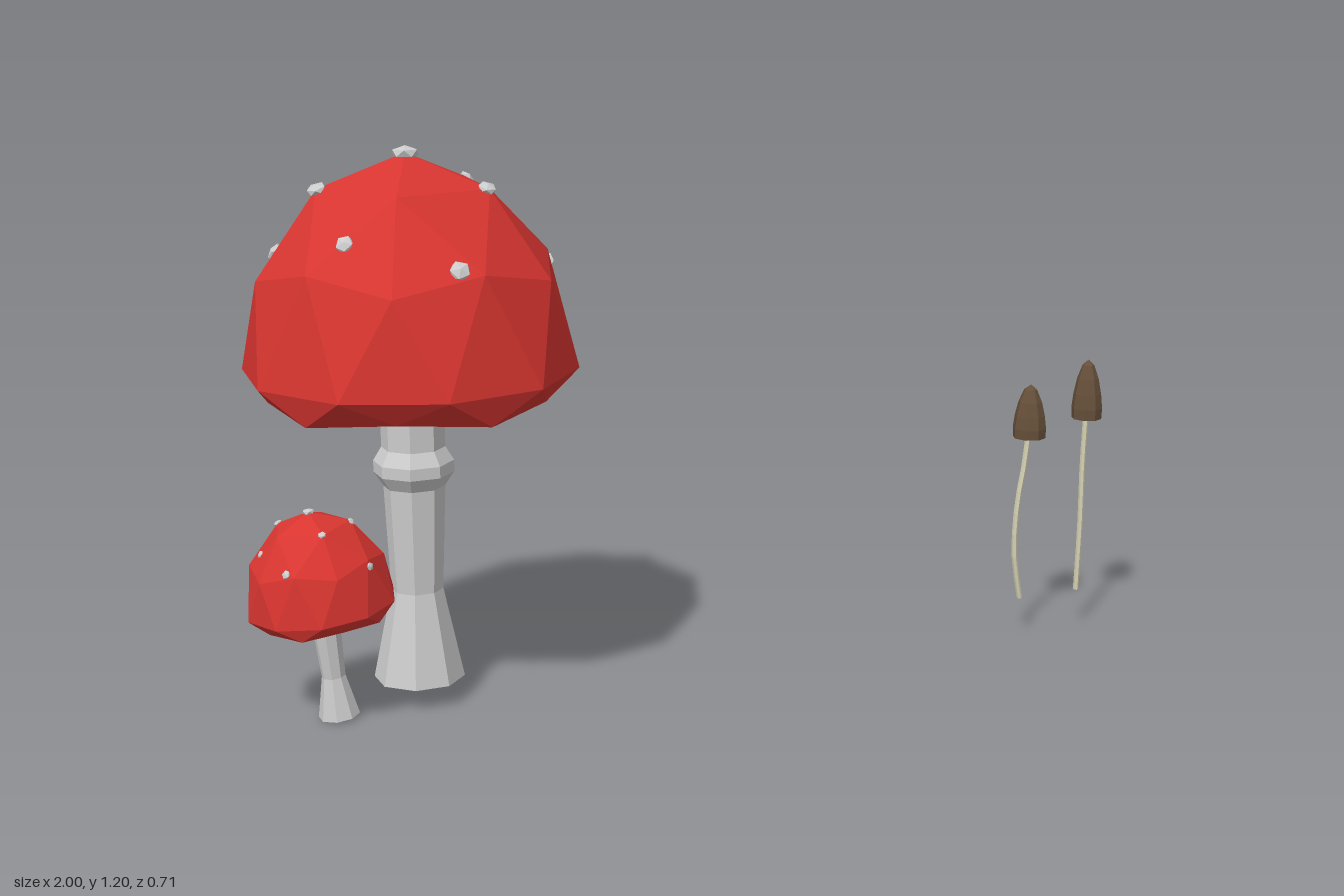
import * as THREE from 'three';

const mat = (color) => new THREE.MeshStandardMaterial({ color, flatShading: true });
const red = mat(0xd83530), grey = mat(0xcccccc), brown = mat(0x66503a), cream = mat(0xd6d2b4);
red.side = cream.side = THREE.DoubleSide;
const V = (x, y, z) => new THREE.Vector3(x, y, z);
const DEG = Math.PI / 180;

function add(parent, name, geometry, material) {
  const mesh = new THREE.Mesh(geometry, material);
  mesh.name = name;
  parent.add(mesh);
  return mesh;
}

// Icosphere standing on a corner
function icosphere(detail) {
  return new THREE.IcosahedronGeometry(1, detail)
    .rotateZ(Math.atan(2 / (1 + Math.sqrt(5))))
    .rotateY(-5 * DEG);
}

// Domed cap: the lower half is pushed up inside to leave a jagged rim
function capGeometry() {
  const geo = icosphere(1), p = geo.attributes.position;
  for (let i = 0; i < p.count; i++) {
    const y = p.getY(i);
    let h = y * 0.455;
    if (y < -0.95) h = 0.25;
    else if (y < -0.7) h = 0.21;
    else if (y < -0.5) h = -0.052;
    else if (y < -0.1) h = -0.066;
    p.setXYZ(i, p.getX(i) * 0.355, h, p.getZ(i) * 0.355);
  }
  return geo;
}

// Spot positions seen from above: x, z, radius
const SPOTS = [
  [0, 0, 0.03], [-0.245, -0.145, 0.022], [0.005, -0.22, 0.022], [0.165, -0.095, 0.021],
  [-0.185, -0.015, 0.022], [0.305, 0.025, 0.022], [0.135, 0.12, 0.021],
  [0.02, 0.28, 0.023], [-0.18, 0.165, 0.02],
];

function spottedCap() {
  const cap = new THREE.Group();
  cap.name = 'spottedCap';
  const dome = add(cap, 'capDome', capGeometry(), red);
  const ray = new THREE.Raycaster();
  const spotGeo = icosphere(0);
  for (const [x, z, r] of SPOTS) {
    ray.set(V(x + 0.0005, 2, z + 0.0003), V(0, -1, 0));
    const hit = ray.intersectObject(dome)[0];
    const spot = add(cap, 'capSpot', spotGeo, grey);
    spot.position.copy(hit.point);
    const normal = x === 0 && z === 0 ? V(0, 1, 0) : hit.face.normal;
    spot.quaternion.setFromUnitVectors(V(0, 1, 0), normal);
    spot.scale.set(r, r * 0.5, r);
  }
  return cap;
}

// Eight-sided stem with flared foot and a collar
function collaredStem(parent, top) {
  const profile = [[0, 0], [0.098, 0], [0.056, 0.2], [0.066, 0.43], [0.086, 0.46],
    [0.086, 0.485], [0.068, 0.515], [0.07, top], [0, top]];
  return add(parent, 'stem',
    new THREE.LatheGeometry(profile.map(([r, y]) => new THREE.Vector2(r, y)), 8, 22.5 * DEG), grey);
}

// Slim mushroom: bent stalk under a bell-shaped cap
function slimMushroom(path, width, height) {
  const group = new THREE.Group();
  group.name = 'slimMushroom';
  const curve = new THREE.CatmullRomCurve3(path);
  add(group, 'stalk', new THREE.TubeGeometry(curve, 8, 0.0065, 6), cream);
  const profile = [[0, 0.25], [0.8, 0], [0.97, 0], [1, 0.18], [0.9, 0.42],
    [0.7, 0.68], [0.38, 0.91], [0, 1]];
  const bell = add(group, 'bellCap', new THREE.LatheGeometry(
    profile.map(([r, y]) => new THREE.Vector2(r * width, y * height)), 8), brown);
  bell.position.copy(path[path.length - 1]);
  bell.position.y -= height * 0.25;
  return group;
}

export function createModel() {
  const model = new THREE.Group();
  model.name = 'mushrooms';

  // Large red mushroom
  const large = new THREE.Group();
  large.name = 'largeMushroom';
  large.position.set(-0.622, 0.05, 0);
  collaredStem(large, 0.9);
  const largeCap = spottedCap();
  largeCap.position.y = 0.685;
  large.add(largeCap);
  model.add(large);

  // Small leaning red mushroom
  const small = new THREE.Group();
  small.name = 'smallMushroom';
  small.position.set(-0.815, 0.005, 0.042);
  small.rotation.z = 6 * DEG;
  small.scale.setScalar(0.45);
  collaredStem(small, 0.78);
  const smallCap = spottedCap();
  smallCap.position.set(0, 0.555, -0.025);
  smallCap.rotation.y = -46 * DEG;
  small.add(smallCap);
  model.add(small);

  // Pair of slim brown mushrooms
  model.add(slimMushroom([V(0.796, 0.09, 0.182), V(0.776, 0.2, 0.184), V(0.78, 0.32, 0.183),
    V(0.797, 0.42, 0.182), V(0.806, 0.511, 0.182)], 0.039, 0.125));
  model.add(slimMushroom([V(0.954, 0.09, 0.182), V(0.957, 0.25, 0.184), V(0.958, 0.4, 0.182),
    V(0.963, 0.545, 0.182)], 0.036, 0.14));

  return model;
}
